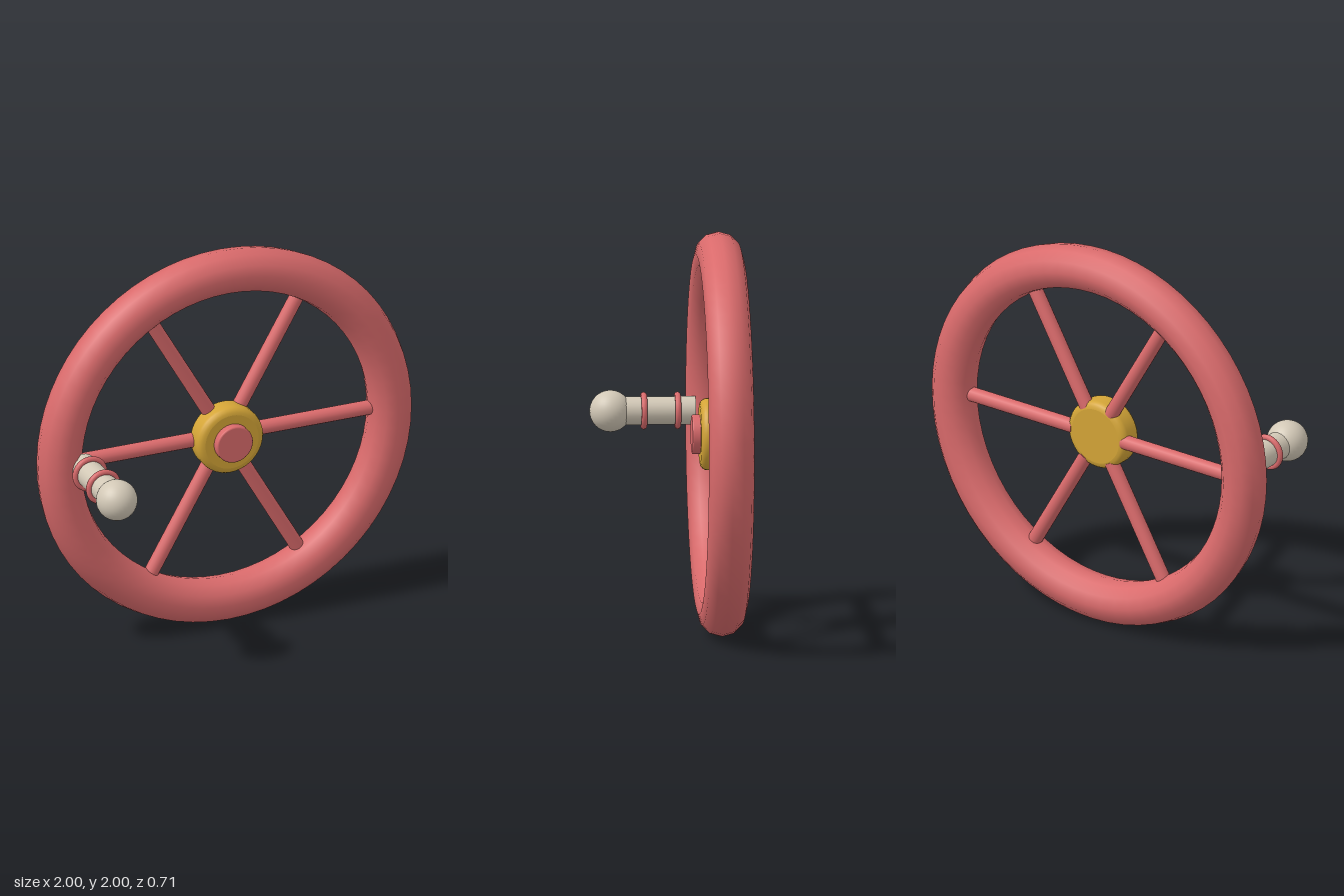
import * as THREE from 'three';

const CENTER_Y = 1, WHEEL_Z = -0.24;

export function createModel() {
  const red = new THREE.MeshStandardMaterial({ name: 'red', color: 0xd96a6b });
  const gold = new THREE.MeshStandardMaterial({ name: 'gold', color: 0xd4a537 });
  const ivory = new THREE.MeshStandardMaterial({ name: 'ivory', color: 0xd2c8b6 });

  const model = new THREE.Group();
  model.name = 'handwheel';

  const add = (name, geometry, material, x, z) => {
    const mesh = new THREE.Mesh(geometry, material);
    mesh.name = name;
    mesh.position.set(x, CENTER_Y, z);
    model.add(mesh);
    return mesh;
  };

  // Disc along z with rounded edges; flat caps are separate rows so they stay flat
  const roundedDisc = (radius, back, front, bevel) => {
    const pts = [[0, back], [radius - bevel, back], [radius - bevel, back]];
    for (let i = 1; i <= 4; i++) {
      const a = (i / 4) * Math.PI / 2;
      pts.push([radius - bevel + bevel * Math.sin(a), back + bevel - bevel * Math.cos(a)]);
    }
    for (let i = 0; i <= 4; i++) {
      const a = (i / 4) * Math.PI / 2;
      pts.push([radius - bevel + bevel * Math.cos(a), front - bevel + bevel * Math.sin(a)]);
    }
    pts.push([radius - bevel, front], [0, front]);
    const geometry = new THREE.LatheGeometry(pts.map(p => new THREE.Vector2(...p)), 40);
    return geometry.rotateX(Math.PI / 2);
  };

  // Wheel rim
  add('rim', new THREE.TorusGeometry(0.887, 0.1125, 12, 64), red, 0, WHEEL_Z);

  // Six spokes from hub to rim
  const spokeGeometry = new THREE.CylinderGeometry(0.037, 0.037, 0.66, 16).translate(0, 0.48, 0);
  for (let i = 0; i < 6; i++) {
    const spoke = add('spoke' + (i + 1), spokeGeometry, red, 0, WHEEL_Z);
    spoke.rotation.z = Math.PI / 2 + i * Math.PI / 3;
  }

  // Hub and its centre cap
  add('hub', roundedDisc(0.178, -0.273, -0.14, 0.035), gold, 0, 0);
  add('hubCap', roundedDisc(0.097, -0.16, -0.1, 0.008), red, 0, 0);

  // Crank handle: shaft, two rings and a ball
  const handleX = -0.79;
  const shaft = new THREE.CylinderGeometry(0.07, 0.07, 0.4, 24).rotateX(Math.PI / 2);
  add('handleShaft', shaft, ivory, handleX, 0.03);
  for (const z of [-0.082, 0.085]) {
    add('handleRing', new THREE.TorusGeometry(0.078, 0.015, 10, 32), red, handleX, z);
  }
  add('handleBall', new THREE.SphereGeometry(0.103, 32, 20), ivory, handleX, 0.25);

  return model;
}
